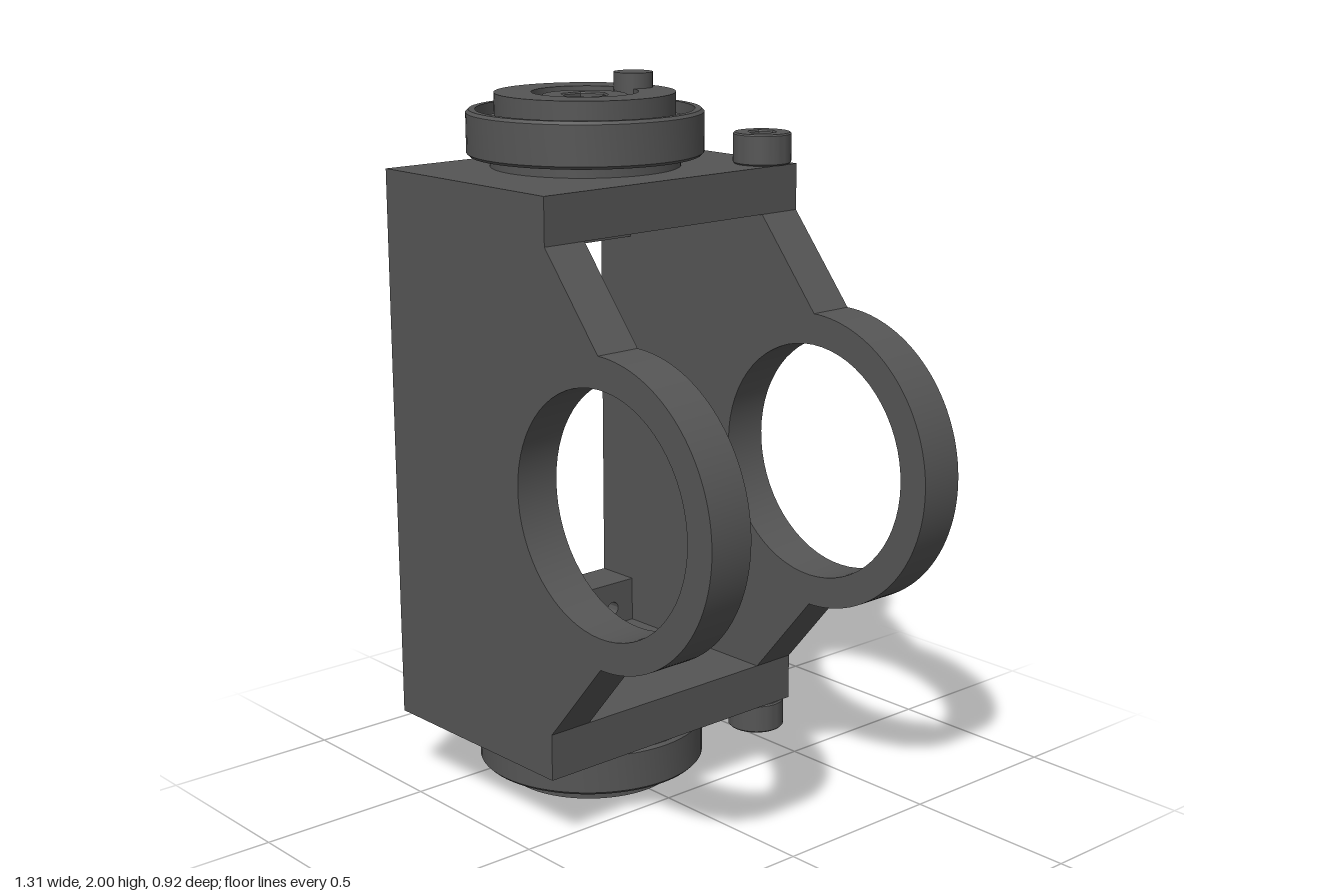
import * as THREE from 'three';
import { toCreasedNormals } from 'three/addons/utils/BufferGeometryUtils.js';

const material = new THREE.MeshStandardMaterial({ color: 0x555555 });
const MID = 0.98; // height of the part's horizontal mirror plane
const AXIS_X = -0.33; // x of the bearing axis

function add(parent, name, geometry, x = 0, y = 0, z = 0) {
  const mesh = new THREE.Mesh(geometry, material);
  mesh.name = name;
  mesh.position.set(x, y, z);
  parent.add(mesh);
  return mesh;
}

function lathe(points) {
  const profile = points.map(([r, y]) => new THREE.Vector2(r, y));
  return toCreasedNormals(new THREE.LatheGeometry(profile, 64), 0.5);
}

function circlePath(x, y, r) {
  return new THREE.Path().absarc(x, y, r, 0, Math.PI * 2, true);
}

function extrude(shape, depth, bevel = 0) {
  const geometry = new THREE.ExtrudeGeometry(shape, {
    depth: depth - 2 * bevel, curveSegments: 32, bevelEnabled: bevel > 0,
    bevelSize: bevel, bevelThickness: bevel, bevelOffset: -bevel, bevelSegments: 1,
  });
  geometry.translate(0, 0, bevel);
  return toCreasedNormals(geometry, 0.4);
}

// Socket-head screw standing on y = 0
function socketScrew(name, radius, height, hexRadius) {
  const screw = new THREE.Group();
  screw.name = name;
  const shape = new THREE.Shape().absarc(0, 0, radius, 0, Math.PI * 2);
  const hex = [];
  for (let i = 0; i < 6; i++) {
    const a = -i * Math.PI / 3;
    hex.push(new THREE.Vector2(hexRadius * Math.sin(a), hexRadius * Math.cos(a)));
  }
  shape.holes.push(new THREE.Path(hex));
  add(screw, 'screwHead', extrude(shape, height, 0.004).rotateX(-Math.PI / 2));
  // Drill-point floor of the socket
  add(screw, 'socketFloor', lathe([[hexRadius * 1.1, height * 0.45], [0, height * 0.45 - hexRadius * 0.3]]));
  return screw;
}

// Ball bearing, hub and screws of one end, measured up from the mirror plane
function bearingEnd(name, screwZ) {
  const end = new THREE.Group();
  end.name = name;
  const bearing = new THREE.Group();
  bearing.name = 'bearing';
  bearing.position.x = AXIS_X;
  end.add(bearing);
  add(bearing, 'hub', lathe([
    [0, 0.78], [0.26, 0.78], [0.26, 0.81], [0.246, 0.81], [0.246, 0.978],
    [0.145, 0.978], [0.145, 0.92], [0, 0.92],
  ]));
  add(bearing, 'outerRing', lathe([
    [0.246, 0.81], [0.315, 0.81], [0.323, 0.818], [0.323, 0.926], [0.315, 0.934],
    [0.297, 0.934], [0.297, 0.86], [0.246, 0.86],
  ]));
  for (let i = 0; i < 11; i++) {
    const a = i * Math.PI * 2 / 11;
    add(bearing, 'ball', new THREE.SphereGeometry(0.037, 20, 14), 0.272 * Math.sin(a), 0.87, 0.272 * Math.cos(a));
  }
  const centreScrew = socketScrew('centreScrew', 0.118, 0.05, 0.065);
  centreScrew.position.y = 0.92;
  bearing.add(centreScrew);
  const cornerScrew = socketScrew('cornerScrew', 0.08, 0.085, 0.038);
  cornerScrew.position.set(-0.036, 0.78, screwZ);
  end.add(cornerScrew);
  end.position.y = MID;
  return end;
}

export function createModel() {
  const model = new THREE.Group();
  model.name = 'bearingBracket';

  // Side plates with a ring eye
  const plate = new THREE.Shape();
  plate.moveTo(-0.635, 0.2);
  plate.lineTo(0.036, 0.2);
  plate.lineTo(0.036, 0.33);
  plate.lineTo(0.237, 0.57);
  plate.absarc(0.237, MID, 0.41, -Math.PI / 2, Math.PI / 2);
  plate.lineTo(0.036, 1.633);
  plate.lineTo(0.036, 1.76);
  plate.lineTo(-0.635, 1.76);
  plate.holes.push(circlePath(0.236, MID, 0.325));
  const plateGeometry = extrude(plate, 0.13);
  add(model, 'frontPlate', plateGeometry, 0, 0, 0.315);
  add(model, 'backPlate', plateGeometry, 0, 0, -0.445);

  // Slabs joining the plates at top and bottom
  add(model, 'bottomSlab', new THREE.BoxGeometry(0.671, 0.13, 0.63), -0.2995, 0.265, 0);
  add(model, 'topSlab', new THREE.BoxGeometry(0.671, 0.127, 0.63), -0.2995, 1.6965, 0);

  // Drilled cross bars above and below the side window; shape x runs along -z
  const bars = [
    ['lowerBar', 0.33, 0.46, [[-0.28, 0.38], [-0.065, 0.38], [0.237, 0.38]]],
    ['upperBar', 1.505, 1.633, [[0.057, 1.578]]],
  ];
  for (const [name, y0, y1, holes] of bars) {
    const bar = new THREE.Shape();
    bar.moveTo(-0.315, y0);
    bar.lineTo(0.315, y0);
    bar.lineTo(0.315, y1);
    bar.lineTo(-0.315, y1);
    for (const [u, y] of holes) bar.holes.push(circlePath(u, y, 0.021));
    add(model, name, extrude(bar, 0.13).rotateY(Math.PI / 2), -0.635, 0, 0);
  }

  // Matching ends, the lower one turned over
  const upper = bearingEnd('upperEnd', -0.383);
  const lower = bearingEnd('lowerEnd', 0.383);
  lower.rotation.x = Math.PI;
  model.add(upper, lower);

  // Drive pin on the upper hub only
  add(upper, 'drivePin', new THREE.CylinderGeometry(0.054, 0.054, 0.06, 32), AXIS_X, 0.99, -0.174);

  // Slight turn about the vertical
  model.rotation.y = 0.0135;
  model.position.z = 0.005;
  const root = new THREE.Group();
  root.name = 'bracketAssembly';
  root.add(model);
  return root;
}
